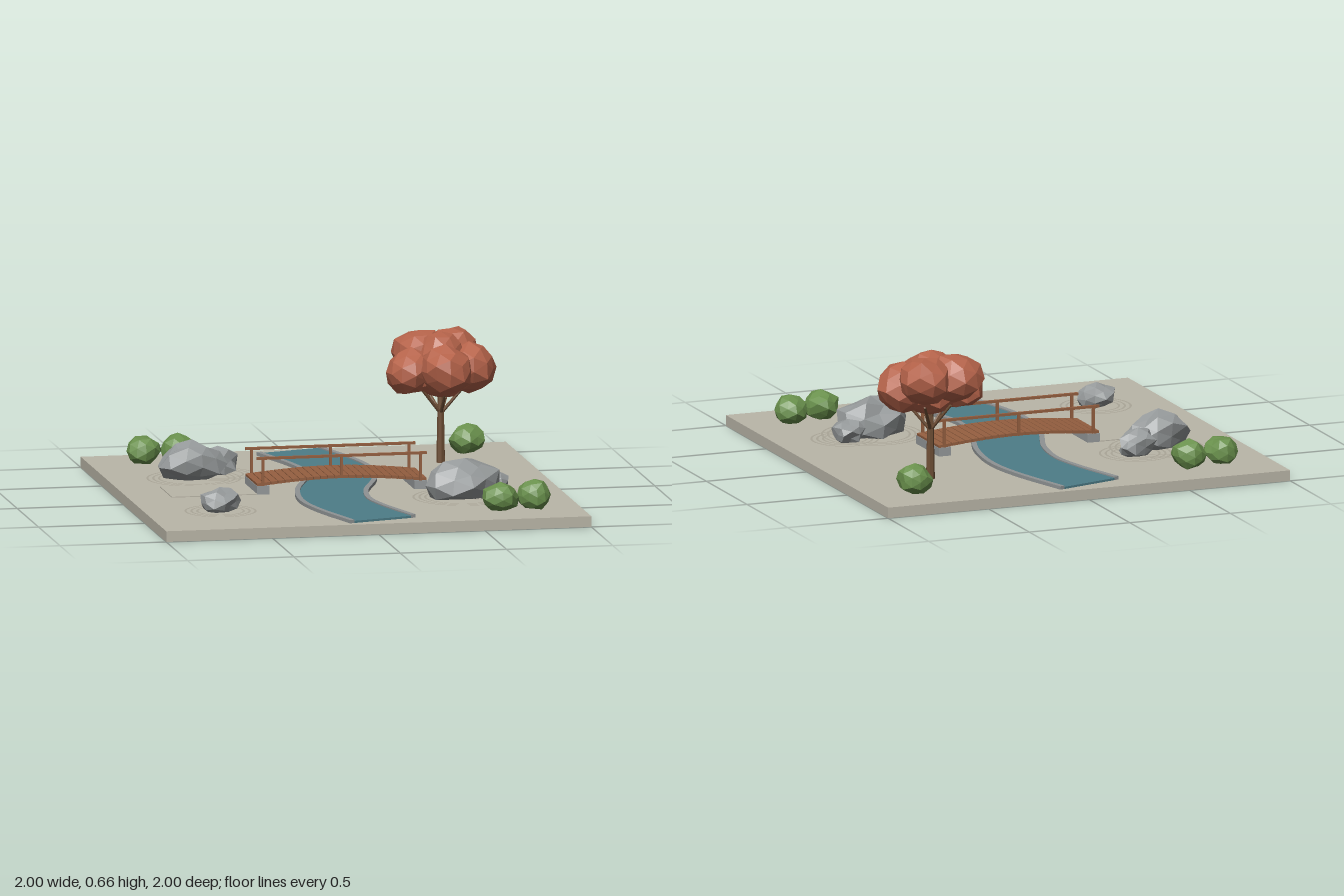
import * as THREE from 'three';

const material = (name, color) => {
  const m = new THREE.MeshStandardMaterial({ color, flatShading: true });
  m.name = name;
  return m;
};

export function createModel() {
  const model = new THREE.Group();
  model.name = 'zenGarden';
  const sand = material('sand', 0xbab6a8);
  const rakedSand = material('rakedSand', 0xaaa698);
  const water = material('water', 0x4d7d88);
  const bank = material('bankStone', 0x8f9394);
  const rock = material('rock', 0x969a9b);
  const wood = material('bridgeWood', 0x955f40);
  const bark = material('bark', 0x6f4f36);
  const foliage = material('redFoliage', 0xb5634a);
  const leaf = material('bushGreen', 0x69904c);

  const GROUND = 0.05;
  const add = (name, geometry, mat, x = 0, y = 0, z = 0, parent = model) => {
    const mesh = new THREE.Mesh(geometry, mat);
    mesh.name = name;
    mesh.position.set(x, y, z);
    parent.add(mesh);
    return mesh;
  };
  const box = (name, mat, w, h, d, x, y, z, parent) =>
    add(name, new THREE.BoxGeometry(w, h, d), mat, x, y, z, parent);

  // faceted lump: an icosphere with seeded radial jitter, flattened on the ground
  const lump = (name, mat, [x, y, z], [rx, ry, rz], jitter, seed, turn = 0) => {
    let s = seed * 7919 + 13;
    const random = () => (s = (s * 16807) % 2147483647) / 2147483647;
    for (let i = 0; i < 4; i++) random();
    const geometry = new THREE.IcosahedronGeometry(1, 1);
    const p = geometry.attributes.position;
    const factors = new Map();
    for (let i = 0; i < p.count; i++) {
      const key = [p.getX(i), p.getY(i), p.getZ(i)].map((v) => Math.round(v * 100)).join();
      if (!factors.has(key)) factors.set(key, 1 + jitter * (random() * 2 - 1));
      const f = factors.get(key);
      p.setXYZ(i, p.getX(i) * f * rx, Math.max(p.getY(i) * f * ry, GROUND - y), p.getZ(i) * f * rz);
    }
    geometry.computeVertexNormals();
    add(name, geometry, mat, x, y, z).rotation.y = turn;
  };

  // sand base and the path plate beside the bridge
  box('base', sand, 2, GROUND, 2, 0, GROUND / 2, 0);
  box('path', sand, 0.4, 0.004, 0.28, -0.6, GROUND + 0.002, 0);

  // winding stream: slabs between two sideways offsets of one curve
  const course = new THREE.CatmullRomCurve3([
    [-0.035, -0.918], [0.055, -0.6], [0.082, -0.4], [0.05, -0.15],
    [-0.05, 0.15], [-0.082, 0.4], [-0.055, 0.6], [0.035, 0.918],
  ].map(([x, z]) => new THREE.Vector3(x, 0, z)));
  const STEPS = 40;
  const edge = (offset) => Array.from({ length: STEPS + 1 }, (_, i) => {
    const p = course.getPointAt(i / STEPS);
    const t = course.getTangentAt(i / STEPS);
    return new THREE.Vector2(p.x + t.z * offset, -(p.z - t.x * offset));
  });
  const streamSlab = (name, mat, from, to, height) => {
    const shape = new THREE.Shape([...edge(from), ...edge(to).reverse()]);
    const geometry = new THREE.ExtrudeGeometry(shape, { depth: height, bevelEnabled: false });
    geometry.rotateX(-Math.PI / 2);
    add(name, geometry, mat, 0, GROUND, 0);
  };
  streamSlab('water', water, -0.146, 0.146, 0.01);
  streamSlab('rightBank', bank, -0.17, -0.146, 0.016);
  streamSlab('leftBank', bank, 0.146, 0.17, 0.016);

  // arched footbridge
  const bridge = new THREE.Group();
  bridge.name = 'bridge';
  model.add(bridge);
  const deckY = (x) => 0.094 + 0.026 * Math.cos((x / 0.4) * Math.PI / 2);
  const PLANKS = 24;
  for (let i = 0; i < PLANKS; i++) {
    const x = -0.4 + (i + 0.5) * (0.8 / PLANKS);
    const plank = box('plank', wood, 0.03, 0.014, 0.27, x, deckY(x), 0, bridge);
    plank.rotation.z = Math.atan((deckY(x + 0.01) - deckY(x - 0.01)) / 0.02);
  }
  for (const side of [-1, 1]) {
    box('footing', rock, 0.06, 0.04, 0.28, side * 0.37, GROUND + 0.02, 0, bridge);
    box('handrail', wood, 0.8, 0.012, 0.014, 0, 0.218, side * 0.132, bridge);
    for (const x of [-0.37, 0, 0.37]) {
      const foot = deckY(x) - 0.007;
      box('railPost', wood, 0.012, 0.214 - foot, 0.012, x, (0.214 + foot) / 2, side * 0.132, bridge);
    }
  }

  // rocks: centre, radii, turn
  [
    [[-0.61, 0.115, -0.34], [0.155, 0.105, 0.1], 0.35],
    [[-0.465, 0.095, -0.45], [0.105, 0.075, 0.065], 0.3],
    [[-0.655, 0.095, 0.53], [0.092, 0.062, 0.068], 0.2],
    [[0.525, 0.115, 0.395], [0.17, 0.11, 0.115], 0.15],
    [[0.67, 0.09, 0.31], [0.085, 0.06, 0.068], 0.5],
  ].forEach(([centre, radii, turn], i) => lump('rock', rock, centre, radii, 0.2, i + 3, turn));

  // raked rings round the rocks: x, z, outer radius
  [
    [-0.6, -0.34, 0.22], [-0.465, -0.42, 0.17], [-0.65, 0.53, 0.167],
    [0.52, 0.39, 0.235], [0.67, 0.35, 0.16],
  ].forEach(([x, z, outer], i) => {
    for (let k = 0; k < 3; k++) {
      const r = outer - k * 0.027;
      const ring = new THREE.RingGeometry(r - 0.01, r, 40).rotateX(-Math.PI / 2);
      add('rakedRing', ring, rakedSand, x, GROUND + 0.001 + i * 0.0002, z);
    }
  });

  // bushes: x, z, radius
  [
    [-0.755, -0.76, 0.08], [-0.59, -0.77, 0.08], [0.77, -0.76, 0.08],
    [0.615, 0.78, 0.086], [0.785, 0.735, 0.08],
  ].forEach(([x, z, r], i) => lump('bush', leaf, [x, 0.112, z], [r, 0.07, r], 0.1, i + 20));

  // tree: trunk, spreading branches and clustered crown
  const limb = (name, from, to, r0, r1) => {
    const a = new THREE.Vector3(...from);
    const along = new THREE.Vector3(...to).sub(a);
    const mesh = add(name, new THREE.CylinderGeometry(r1, r0, along.length(), 7), bark);
    mesh.position.copy(a).addScaledVector(along, 0.5);
    mesh.quaternion.setFromUnitVectors(new THREE.Vector3(0, 1, 0), along.normalize());
  };
  limb('trunk', [0.6, GROUND, -0.53], [0.6, 0.38, -0.53], 0.021, 0.014);
  for (let i = 0; i < 5; i++) {
    const a = (i / 5) * Math.PI * 2 + 0.3;
    limb('branch', [0.6, 0.28, -0.53],
      [0.6 + 0.11 * Math.cos(a), 0.41, -0.53 + 0.11 * Math.sin(a)], 0.009, 0.006);
  }
  [
    [[0.6, 0.475, -0.53], 0.135], [[0.52, 0.545, -0.63], 0.13], [[0.68, 0.55, -0.655], 0.125],
    [[0.73, 0.49, -0.52], 0.125], [[0.6, 0.5, -0.42], 0.125], [[0.46, 0.48, -0.53], 0.12],
    [[0.6, 0.56, -0.54], 0.105],
  ].forEach(([centre, r], i) => lump('crown', foliage, centre, [r, r * 0.92, r], 0.09, i + 40));

  return model;
}
